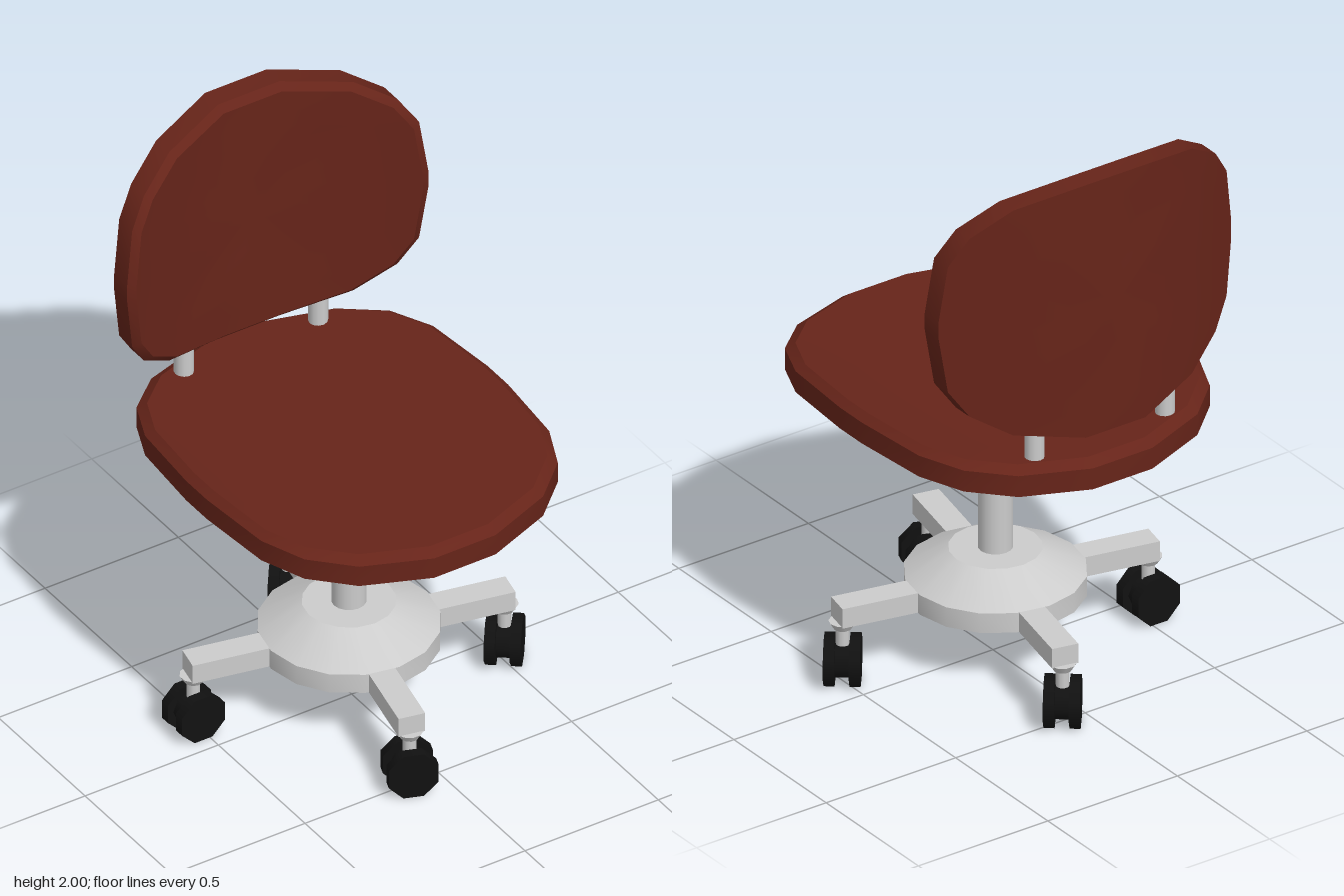
import * as THREE from 'three';
import { toCreasedNormals } from 'three/addons/utils/BufferGeometryUtils.js';

const grey = new THREE.MeshStandardMaterial({ color: 0xcccccc });
const brown = new THREE.MeshStandardMaterial({ color: 0x662419 });
const black = new THREE.MeshStandardMaterial({ color: 0x111111 });

function add(parent, name, geometry, material, x = 0, y = 0, z = 0) {
  const mesh = new THREE.Mesh(geometry, material);
  mesh.name = name;
  mesh.position.set(x, y, z);
  parent.add(mesh);
  return mesh;
}

// Mirror the corner points of one quadrant into a full counterclockwise outline
function mirrorOutline(quarter) {
  const back = [...quarter].reverse();
  return [
    ...quarter,
    ...back.map(([x, y]) => [-x, y]),
    ...quarter.map(([x, y]) => [-x, -y]),
    ...back.map(([x, y]) => [x, -y]),
  ];
}

// Cushion lying in XY, padded towards +z: rings of [scale, height], bent across x
function cushion(outline, rings, bend) {
  const pos = [];
  const n = outline.length;
  const point = ([s, h], j) => {
    const [x, y] = outline[j % n];
    return [x * s, y * s, h + bend(Math.abs(x * s))];
  };
  for (let i = 0; i < rings.length - 1; i++) {
    for (let j = 0; j < n; j++) {
      const a = point(rings[i], j), b = point(rings[i], j + 1);
      const c = point(rings[i + 1], j + 1), d = point(rings[i + 1], j);
      if (rings[i][0] > 0) pos.push(...a, ...b, ...c);
      if (rings[i + 1][0] > 0) pos.push(...a, ...c, ...d);
      else if (rings[i][0] === 0) continue;
    }
  }
  const geometry = new THREE.BufferGeometry();
  geometry.setAttribute('position', new THREE.Float32BufferAttribute(pos, 3));
  return toCreasedNormals(geometry, 0.5);
}

const padRings = (rim, top) => [
  [0, 0], [0.3, 0], [0.62, 0], [0.85, 0], [1, 0], [1, rim],
  [0.95, top], [0.8, top], [0.62, top], [0.3, top], [0, top],
];

// Twin-wheel caster, turned about the vertical
function caster(angle) {
  const group = new THREE.Group();
  group.name = 'caster';
  for (const side of [-1, 1]) {
    const wheel = new THREE.CylinderGeometry(0.087, 0.087, 0.035, 8);
    wheel.rotateY(Math.PI / 8).rotateX(Math.PI / 2);
    add(group, 'wheel', wheel, black, 0, 0.083, side * 0.041);
  }
  const core = new THREE.CylinderGeometry(0.06, 0.06, 0.06, 8).rotateX(Math.PI / 2);
  add(group, 'wheelCore', core, black, 0, 0.083, 0);
  add(group, 'casterStem', new THREE.CylinderGeometry(0.022, 0.022, 0.08, 10), grey, 0, 0.18, 0);
  add(group, 'casterCollar', new THREE.CylinderGeometry(0.045, 0.03, 0.025, 10), grey, 0, 0.21, 0);
  group.rotation.y = angle;
  return group;
}

export function createModel() {
  const chair = new THREE.Group();
  chair.name = 'swivelChair';
  const cx = -0.017;

  // Seat, slightly dished from side to side
  const seatOutline = mirrorOutline([
    [0.565, 0.06], [0.54, 0.335], [0.475, 0.485], [0.345, 0.6], [0.115, 0.68],
  ]);
  const seat = cushion(seatOutline, padRings(0.075, 0.1), (x) => 0.03 * (x / 0.565) ** 2);
  add(chair, 'seat', seat.rotateX(-Math.PI / 2), brown, cx, 0.92, 0);

  // Backrest, wrapped forward at both sides
  const backOutline = mirrorOutline([
    [0.565, 0.03], [0.538, 0.225], [0.475, 0.32], [0.345, 0.405], [0.115, 0.455],
  ]);
  const wrap = (x) => 0.17 * Math.max(0, (x - 0.1) / 0.465) ** 1.3;
  add(chair, 'backrest', cushion(backOutline, padRings(0.075, 0.1), wrap), brown, cx, 1.545, -0.645);

  // Posts joining seat and backrest
  for (const side of [-1, 1]) {
    add(chair, 'backPost', new THREE.CylinderGeometry(0.032, 0.032, 0.19, 12), grey,
      cx + side * 0.252, 1.075, -0.555);
  }

  // Column and hub
  add(chair, 'column', new THREE.CylinderGeometry(0.056, 0.056, 0.56, 16), grey, -0.01, 0.63, 0);
  const hubProfile = [[0, 0.22], [0.292, 0.22], [0.292, 0.29], [0.15, 0.373], [0, 0.373]]
    .map(([r, y]) => new THREE.Vector2(r, y));
  add(chair, 'hub', toCreasedNormals(new THREE.LatheGeometry(hubProfile, 16), 0.5), grey, -0.01, 0, 0);

  // Four legs, each with its own caster angle: front, right side, back, left side
  const casterAngles = [-0.35, 0.9, 0.9, 0];
  casterAngles.forEach((angle, i) => {
    const turn = -0.205 + (i * Math.PI) / 2;
    const leg = add(chair, 'leg', new THREE.BoxGeometry(0.09, 0.07, 0.4).translate(0, 0, 0.345),
      grey, -0.01, 0.255, 0);
    leg.rotation.y = turn;
    const wheels = caster(angle);
    wheels.position.set(-0.01 + 0.525 * Math.sin(turn), 0, 0.525 * Math.cos(turn));
    chair.add(wheels);
  });

  return chair;
}
